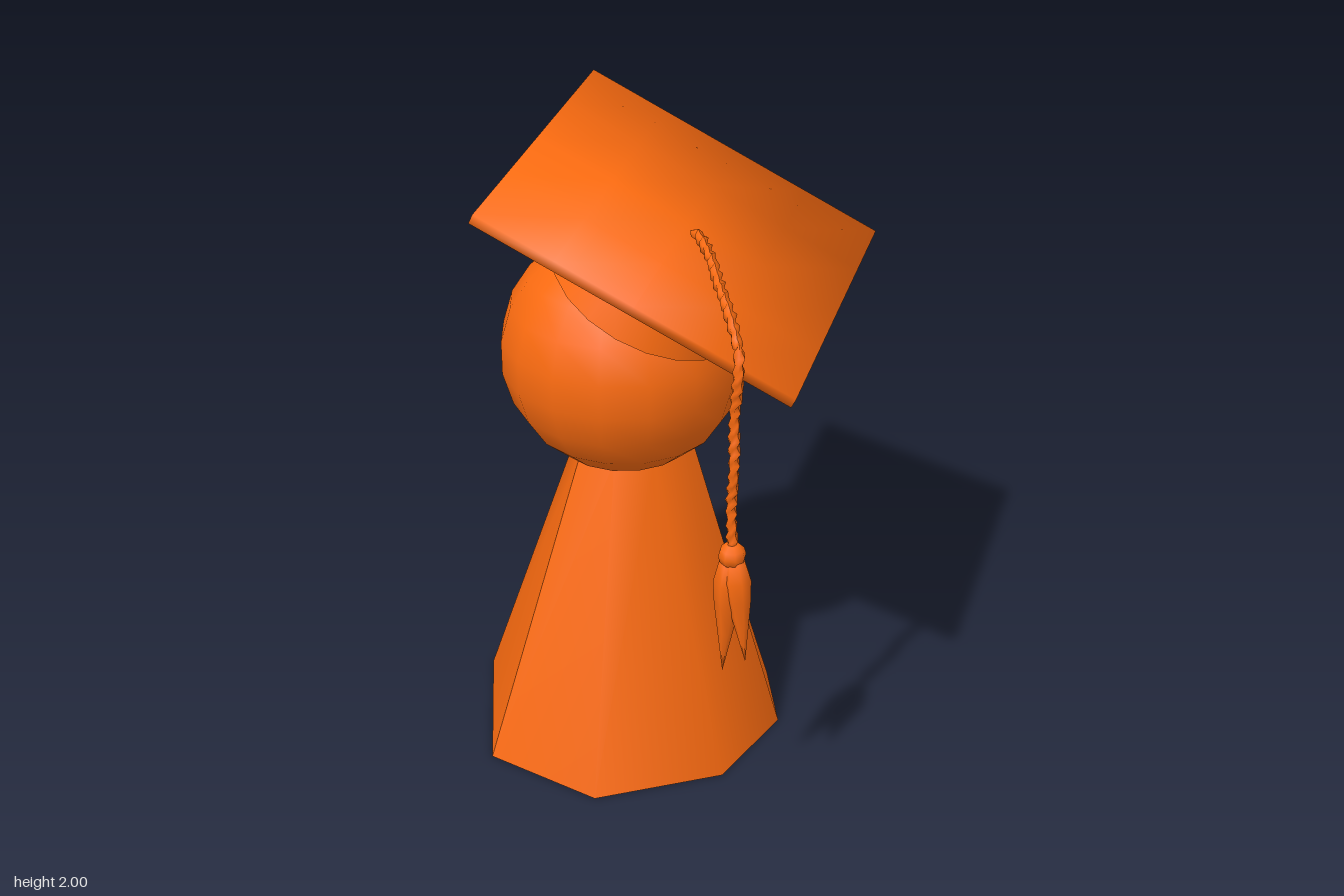
import * as THREE from 'three';
import { toCreasedNormals } from 'three/addons/utils/BufferGeometryUtils.js';

const material = new THREE.MeshStandardMaterial({ color: 0xf96a10 });
const V = (x, y, z) => new THREE.Vector3(x, y, z);

function part(name, geometry, parent) {
  const mesh = new THREE.Mesh(geometry, material);
  mesh.name = name;
  parent.add(mesh);
  return mesh;
}

// Closed solid between two rings of [x, z] corners
function loft(bottom, top, y0, y1) {
  const n = bottom.length;
  const positions = [];
  const index = [];
  for (const [ring, y] of [[bottom, y0], [top, y1]]) {
    let cx = 0, cz = 0;
    for (const [x, z] of ring) {
      positions.push(x, y, z);
      cx += x / n;
      cz += z / n;
    }
    positions.push(cx, y, cz);
  }
  const t = n + 1;
  for (let i = 0; i < n; i++) {
    const j = (i + 1) % n;
    index.push(i, j, t + j, i, t + j, t + i);
    index.push(n, j, i, t + n, t + i, t + j);
  }
  const geometry = new THREE.BufferGeometry();
  geometry.setAttribute('position', new THREE.Float32BufferAttribute(positions, 3));
  geometry.setIndex(index);
  return toCreasedNormals(geometry, 0.85);
}

// Tube whose thickness pulses along its length, like twisted cord
function cord(points, radius, segments, twists) {
  const curve = new THREE.CatmullRomCurve3(points);
  const sides = 6;
  const geometry = new THREE.TubeGeometry(curve, segments, radius, sides);
  const pos = geometry.attributes.position;
  const p = V(0, 0, 0);
  for (let i = 0; i < pos.count; i++) {
    const t = Math.floor(i / (sides + 1)) / segments;
    const a = (i % sides) / sides * Math.PI * 2;
    const centre = curve.getPointAt(t);
    const swell = 0.9 + 0.35 * Math.cos(2 * a + t * twists * Math.PI * 2);
    const taper = t === 0 || t === 1 ? 0.1 : 1;
    p.fromBufferAttribute(pos, i).sub(centre).multiplyScalar(swell * taper).add(centre);
    pos.setXYZ(i, p.x, p.y, p.z);
  }
  geometry.computeVertexNormals();
  return geometry;
}

// Pointed tuft from a top point to a tip
function tuft(name, top, tip, radius, parent) {
  const length = top.distanceTo(tip);
  const profile = [[0, 0], [0.5, 0.35], [0.85, 0.6], [1, 0.78], [0.7, 0.95], [0, 1]]
    .map(([r, h]) => new THREE.Vector2(r * radius, h * length));
  const mesh = part(name, new THREE.LatheGeometry(profile, 7), parent);
  mesh.position.copy(tip);
  mesh.quaternion.setFromUnitVectors(V(0, 1, 0), top.clone().sub(tip).normalize());
}

export function createModel() {
  const model = new THREE.Group();
  model.name = 'graduatePawn';

  // Uneven eight-sided tapering body
  const base = [[0.06, 0.48], [0.33, 0.17], [0.335, -0.17], [0.17, -0.38],
    [-0.32, -0.455], [-0.6, -0.19], [-0.64, 0.07], [-0.33, 0.485]];
  const neck = [[-0.07, 0.16], [0.015, 0.07], [0.02, -0.12], [0, -0.13],
    [-0.21, -0.135], [-0.27, -0.06], [-0.285, 0.03], [-0.19, 0.16]];
  part('body', loft(base, neck, 0, 1), model);

  // Head
  part('head', new THREE.SphereGeometry(0.372, 16, 11), model).position.set(-0.13, 1.305, 0.01);

  // Tilted cap: local x and z run along the edges of the board
  const xAxis = V(0.845, -0.43, -0.27).normalize();
  const yAxis = V(0.26, -0.08, 0.93).cross(xAxis).normalize();
  const zAxis = xAxis.clone().cross(yAxis);
  const cap = new THREE.Group();
  cap.name = 'cap';
  cap.quaternion.setFromRotationMatrix(new THREE.Matrix4().makeBasis(xAxis, yAxis, zAxis));
  cap.position.set(0.083, 1.745, 0);
  model.add(cap);

  // Square board with normals blended softly across its corners
  const board = new THREE.BoxGeometry(0.978, 0.03, 0.978, 4, 1, 4);
  const { position, normal } = board.attributes;
  for (let i = 0; i < position.count; i++) {
    const n = V(position.getX(i) / 0.489, Math.sign(position.getY(i)), position.getZ(i) / 0.489).normalize();
    normal.setXYZ(i, n.x, n.y, n.z);
  }
  part('capBoard', board, cap).position.y = -0.015;

  // Flared skullcap under the board
  const band = [[0, 0], [0.22, 0], [0.262, -0.11], [0.3, -0.228], [0.26, -0.228]]
    .reverse().map(([r, y]) => new THREE.Vector2(r, y));
  const skull = part('skullcap', toCreasedNormals(new THREE.LatheGeometry(band, 20), 0.7), cap);
  skull.position.set(-0.012, -0.026, 0.005);

  // Twisted cord across the board and over its edge
  const tassel = new THREE.Group();
  tassel.name = 'tassel';
  model.add(tassel);
  part('boardCord', cord([V(0.12, 1.745, 0.035), V(0.17, 1.745, 0.07), V(0.26, 1.725, 0.155),
    V(0.33, 1.7, 0.23), V(0.42, 1.665, 0.32), V(0.485, 1.61, 0.385)], 0.016, 28, 3), tassel);
  part('hangingCord', cord([V(0.482, 1.63, 0.38), V(0.492, 1.55, 0.4), V(0.48, 1.42, 0.395),
    V(0.486, 1.28, 0.402), V(0.476, 1.15, 0.395), V(0.482, 1, 0.395)], 0.016, 36, 4), tassel);

  // Knot and two tufts
  const knot = part('knot', new THREE.SphereGeometry(0.04, 8, 6), tassel);
  knot.position.set(0.482, 0.99, 0.395);
  tuft('longTuft', V(0.478, 0.99, 0.395), V(0.458, 0.59, 0.397), 0.045, tassel);
  tuft('shortTuft', V(0.49, 0.99, 0.395), V(0.533, 0.65, 0.397), 0.042, tassel);

  return model;
}
